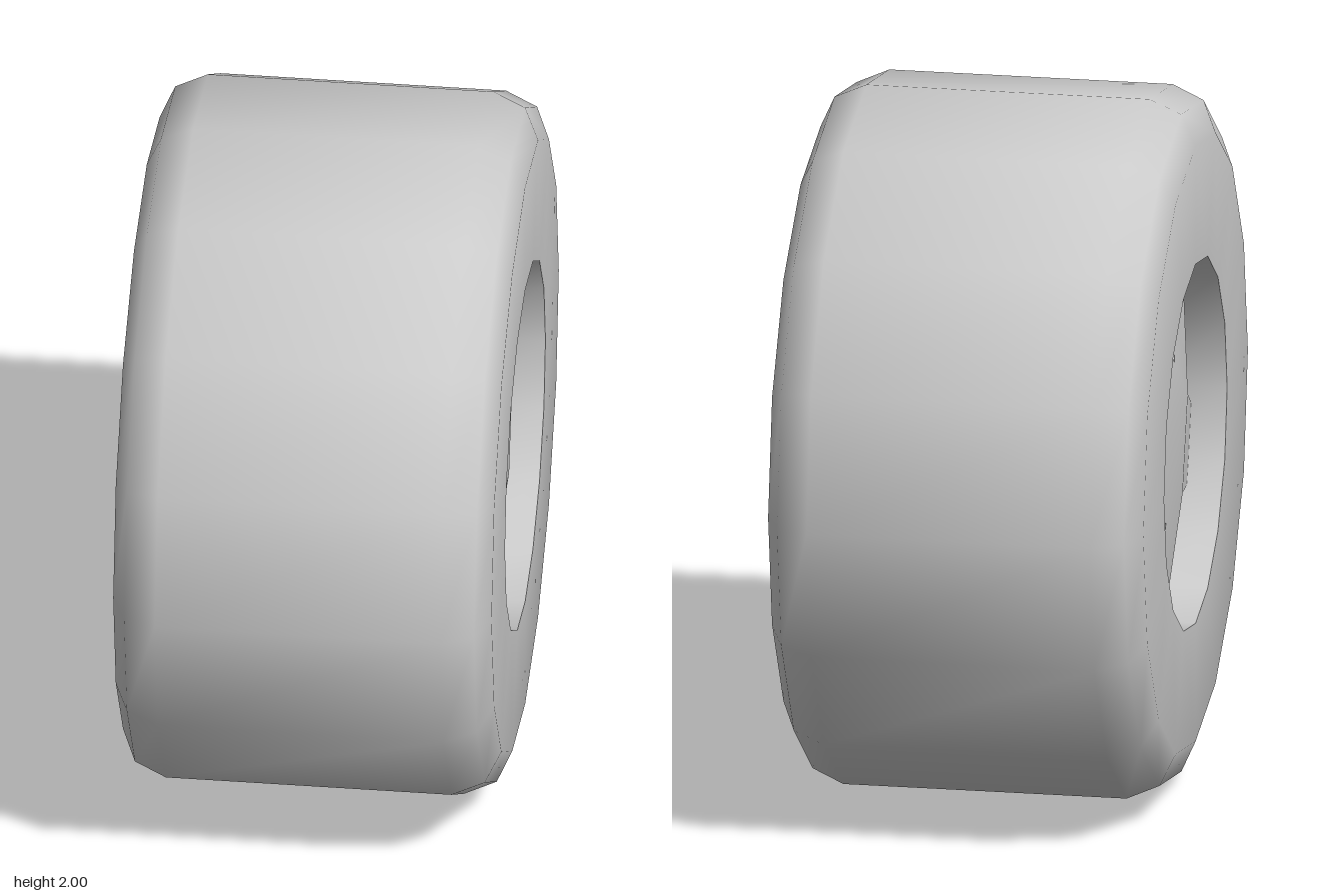
import * as THREE from 'three';
import { toCreasedNormals } from 'three/addons/utils/BufferGeometryUtils.js';

const material = new THREE.MeshStandardMaterial({ color: 0xcccccc });

// Tyre and recessed rim discs, turned as one 16-sided profile [radius, width]
function createTyre() {
  const half = [[0, 0.33], [0.515, 0.33], [0.525, 0.53], [0.87, 0.53], [0.96, 0.49], [1, 0.4]];
  const profile = [
    ...half.map(([r, w]) => new THREE.Vector2(r, -w)),
    ...half.slice().reverse().map(([r, w]) => new THREE.Vector2(r, w)),
  ];
  const geometry = new THREE.LatheGeometry(profile, 16).rotateZ(-Math.PI / 2);
  const tyre = new THREE.Mesh(toCreasedNormals(geometry, 0.9), material);
  tyre.name = 'tyre';
  return tyre;
}

// Five tapered spokes joined at the hub, facing +x
function createSpokes() {
  const points = [];
  for (let i = 0; i < 5; i++) {
    const a = -Math.PI / 2 + (i * 2 * Math.PI) / 5;
    const at = (along, across) => new THREE.Vector2(
      Math.cos(a) * along - Math.sin(a) * across,
      Math.sin(a) * along + Math.cos(a) * across);
    const valley = a + Math.PI / 5;
    points.push(at(0.54, -0.113), at(0.54, 0.113));
    points.push(new THREE.Vector2(Math.cos(valley) * 0.235, Math.sin(valley) * 0.235));
  }
  const geometry = new THREE.ExtrudeGeometry(new THREE.Shape(points), { depth: 1, bevelEnabled: false });

  // Front face falls away from hub to tips; the back sits in the rim disc
  const p = geometry.attributes.position;
  for (let i = 0; i < p.count; i++) {
    const tip = Math.hypot(p.getX(i), p.getY(i)) > 0.4;
    p.setZ(i, p.getZ(i) < 0.5 ? 0.32 : tip ? 0.425 : 0.47);
  }
  geometry.rotateY(Math.PI / 2);
  return toCreasedNormals(geometry, 0.6);
}

export function createModel() {
  const wheel = new THREE.Group();
  wheel.name = 'wheel';
  wheel.add(createTyre());

  // The same spokes on both sides
  const spokes = createSpokes();
  for (const [name, turn] of [['leftSpokes', 0], ['rightSpokes', Math.PI]]) {
    const mesh = new THREE.Mesh(spokes, material);
    mesh.name = name;
    mesh.rotation.y = turn;
    wheel.add(mesh);
  }
  wheel.position.y = 1;

  const model = new THREE.Group();
  model.add(wheel);
  return model;
}
